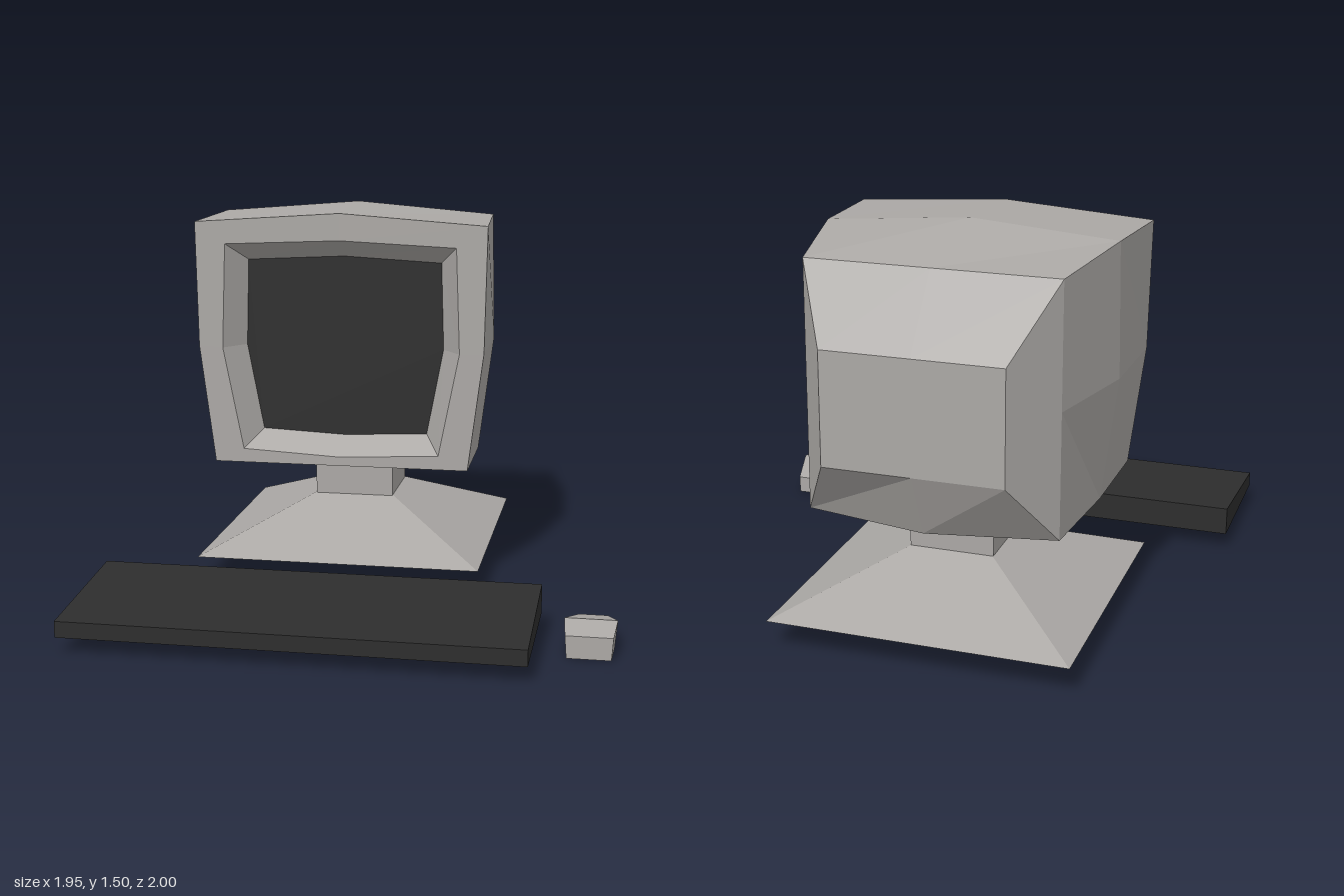
import * as THREE from 'three';

const paint = (name, color) => {
  const m = new THREE.MeshStandardMaterial({ color });
  m.name = name;
  return m;
};

// Joins rings of points (counter-clockwise seen from +z, ordered back to front) into a faceted skin.
function loft(rings, capBack, capFront) {
  const pos = [];
  const tri = (a, b, c) => pos.push(...a, ...b, ...c);
  for (let r = 0; r + 1 < rings.length; r++) {
    const a = rings[r], b = rings[r + 1], n = a.length;
    for (let i = 0; i < n; i++) {
      const j = (i + 1) % n;
      tri(a[i], a[j], b[j]);
      tri(a[i], b[j], b[i]);
    }
  }
  const first = rings[0], last = rings[rings.length - 1];
  for (let i = 1; i + 1 < first.length; i++) {
    if (capBack) tri(first[0], first[i + 1], first[i]);
    if (capFront) tri(last[0], last[i], last[i + 1]);
  }
  const g = new THREE.BufferGeometry();
  g.setAttribute('position', new THREE.Float32BufferAttribute(pos, 3));
  g.computeVertexNormals();
  return g;
}

// Eight-point monitor section: half widths at bottom, middle, top; heights of corners and centres.
function section(z, [wBot, wMid, wTop], [yBot, yBotMid, yMid, yTop, yTopMid], zBotMid = z) {
  return [
    [-wBot, yBot, z], [0, yBotMid, zBotMid], [wBot, yBot, z], [wMid, yMid, z],
    [wTop, yTop, z], [0, yTopMid, z], [-wTop, yTop, z], [-wMid, yMid, z],
  ];
}

// Four-point section for the keyboard and mouse.
const slab = (z, wBot, wTop, y0, y1) =>
  [[-wBot, y0, z], [wBot, y0, z], [wTop, y1, z], [-wTop, y1, z]];

export function createModel() {
  const model = new THREE.Group();
  const grey = paint('warm grey plastic', 0xaba8a5);
  const dark = paint('charcoal', 0x2d2d2d);
  const add = (name, geometry, material, parent, x = 0, y = 0, z = 0) => {
    const mesh = new THREE.Mesh(geometry, material);
    mesh.name = name;
    mesh.position.set(x, y, z);
    parent.add(mesh);
  };

  // Monitor on its stand
  const monitor = new THREE.Group();
  monitor.name = 'monitor';
  monitor.position.x = -0.145;
  model.add(monitor);

  const screenRim = section(-0.07, [0.33, 0.395, 0.385], [0.605, 0.59, 0.945, 1.285, 1.305]);
  add('monitorCase', loft([
    section(-1.0, [0.33, 0.33, 0.33], [0.73, 0.73, 0.94, 1.15, 1.15]),
    section(-0.8, [0.465, 0.465, 0.465], [0.485, 0.485, 0.95, 1.41, 1.41], -0.89),
    section(-0.38, [0.5, 0.56, 0.55], [0.485, 0.485, 0.95, 1.45, 1.495]),
    section(0.03, [0.505, 0.565, 0.575], [0.485, 0.485, 0.95, 1.44, 1.48]),
    section(0.03, [0.39, 0.47, 0.455], [0.54, 0.52, 0.945, 1.355, 1.375]),
    screenRim,
  ], true, false), grey, monitor);
  add('screen', loft([screenRim], false, true), dark, monitor);

  add('standNeck', new THREE.BoxGeometry(0.32, 0.2, 0.32), grey, monitor, 0, 0.39, -0.43);

  // Four-sided frustum, turned so its sides face the axes
  const foot = new THREE.CylinderGeometry(0.16 * Math.SQRT2, 0.5625 * Math.SQRT2, 0.185, 4)
    .rotateY(Math.PI / 4).toNonIndexed();
  foot.computeVertexNormals();
  add('standFoot', foot, grey, monitor, 0, 0.2025, -0.435);

  // Wedge keyboard
  add('keyboard', loft([
    slab(0.43, 0.835, 0.835, 0.06, 0.17),
    slab(1.0, 0.835, 0.835, 0.06, 0.12),
  ], true, true), dark, model, -0.145);

  // Mouse, humped and widest towards the middle
  add('mouse', loft([
    slab(0.44, 0.05, 0.052, 0, 0.068),
    slab(0.605, 0.085, 0.095, 0, 0.107),
    slab(0.73, 0.079, 0.085, 0, 0.083),
  ], true, true), grey, model, 0.88);

  return model;
}
